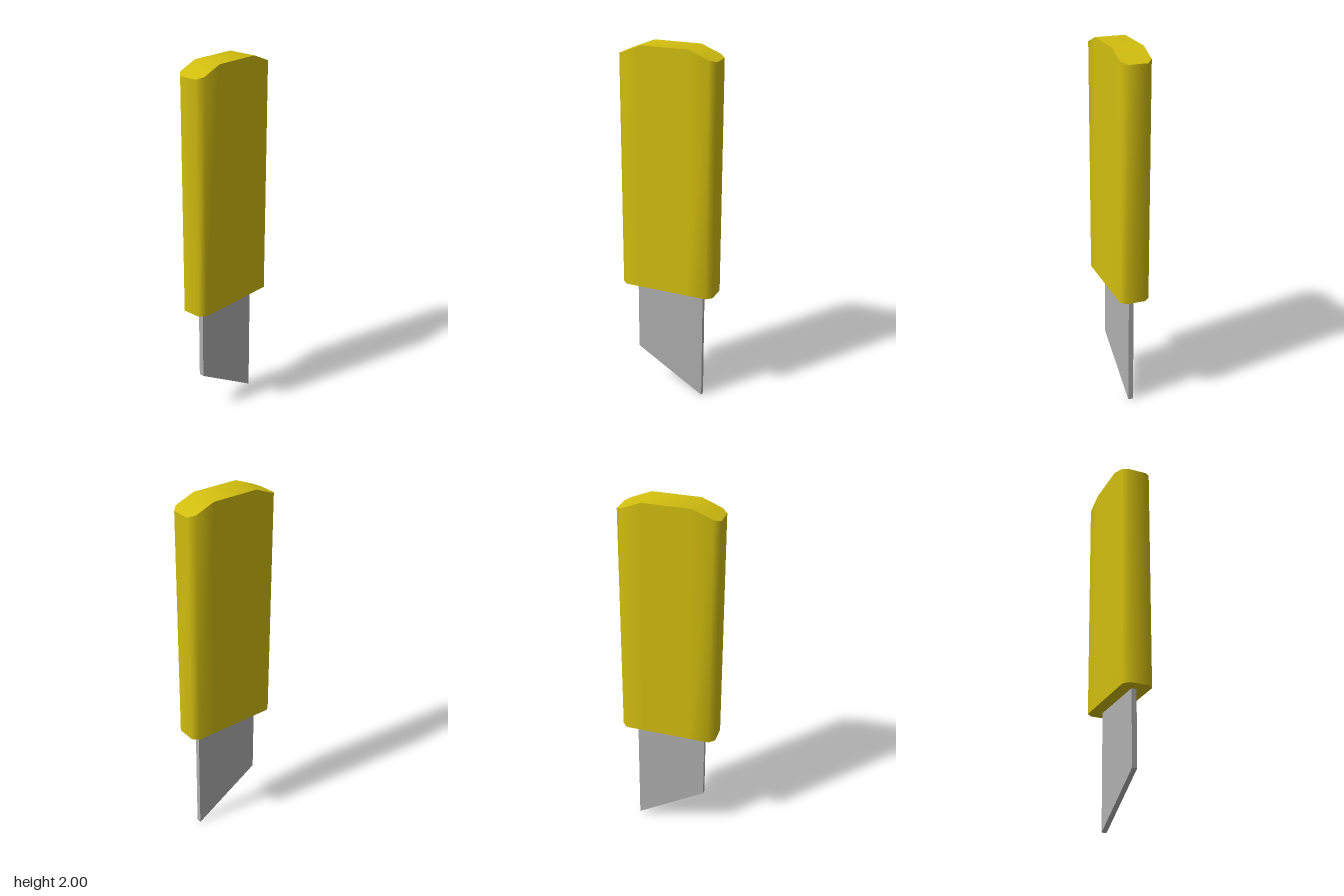
import * as THREE from 'three';
import { toCreasedNormals } from 'three/addons/utils/BufferGeometryUtils.js';

// Joins rectangular cross-sections [x, half depth, bottom y, top y] along x
function loftAlongX(stations) {
  const positions = [];
  const index = [];
  for (const [x, z, bottom, top] of stations) {
    positions.push(x, bottom, z, x, bottom, -z, x, top, -z, x, top, z);
  }
  for (let i = 0; i < stations.length - 1; i++) {
    for (let k = 0; k < 4; k++) {
      const a = i * 4 + k;
      const b = i * 4 + (k + 1) % 4;
      index.push(a, b, a + 4, b, b + 4, a + 4);
    }
  }
  const end = (stations.length - 1) * 4;
  index.push(0, 2, 1, 0, 3, 2, end, end + 1, end + 2, end, end + 2, end + 3);
  const geometry = new THREE.BufferGeometry();
  geometry.setAttribute('position', new THREE.Float32BufferAttribute(positions, 3));
  geometry.setIndex(index);
  // Chamfers stay smooth, the rims stay sharp
  return toCreasedNormals(geometry, 0.9);
}

export function createModel() {
  const yellow = new THREE.MeshStandardMaterial({ color: 0xd2be0f });
  yellow.name = 'yellow plastic';
  const steel = new THREE.MeshStandardMaterial({ color: 0xb0b0b0 });
  steel.name = 'grey steel';

  const group = new THREE.Group();
  group.name = 'craftKnife';

  // Handle: chamfered upright block whose top slopes down at both sides
  const half = [[0.13, 0.082, 2], [0.238, 0.082, 1.957], [0.268, 0.052, 1.945]];
  const stations = [
    ...half.map(([x, z, top]) => [-x, z, 0.655, top]).reverse(),
    ...half.map(([x, z, top]) => [x, z, 0.655, top]),
  ];
  const handle = new THREE.Mesh(loftAlongX(stations), yellow);
  handle.name = 'handle';
  group.add(handle);

  // Blade: thin plate with a slanted cutting edge, seated in the handle
  const blade = new THREE.Mesh(
    loftAlongX([[-0.196, 0.014, 0.235, 0.75], [0.194, 0.014, 0, 0.75]]),
    steel
  );
  blade.name = 'blade';
  group.add(blade);

  return group;
}
